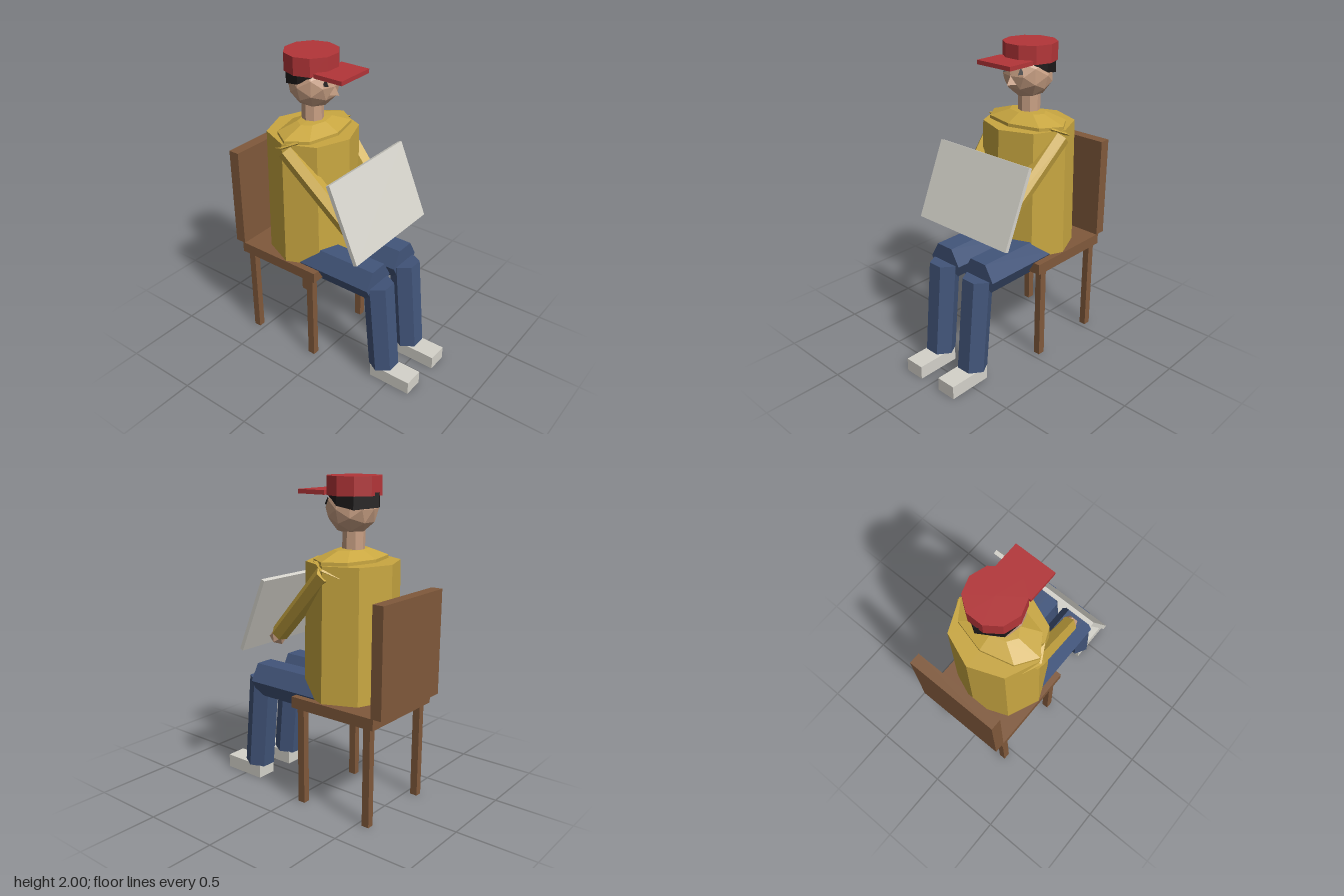
import * as THREE from 'three';

const mat = (name, color, side = THREE.FrontSide) => {
  const m = new THREE.MeshStandardMaterial({ color });
  m.name = name;
  m.side = side;
  return m;
};

export function createModel() {
  const root = new THREE.Group();
  root.name = 'seatedReader';
  const wood = mat('wood brown', 0x80593b), yellow = mat('jacket yellow', 0xc9a741);
  const blue = mat('jeans blue', 0x42557a), skin = mat('skin', 0xc9a084);
  const red = mat('cap red', 0xb33538), pale = mat('pale grey', 0xd4d2ca);
  const black = mat('hair black', 0x1c1919, THREE.DoubleSide);

  // Adds a faceted mesh
  const add = (name, geo, material, x = 0, y = 0, z = 0) => {
    const g = geo.index ? geo.toNonIndexed() : geo;
    g.computeVertexNormals();
    const m = new THREE.Mesh(g, material);
    m.name = name;
    m.position.set(x, y, z);
    root.add(m);
    return m;
  };
  // Box given by its limits on each axis
  const box = (name, material, [x0, x1], [y0, y1], [z0, z1]) =>
    add(name, new THREE.BoxGeometry(x1 - x0, y1 - y0, z1 - z0), material,
      (x0 + x1) / 2, (y0 + y1) / 2, (z0 + z1) / 2);
  // Six-sided limb between two points
  const limb = (name, material, a, b, ra, rb) => {
    const p = new THREE.Vector3(...a), q = new THREE.Vector3(...b);
    const d = q.clone().sub(p), c = p.add(q).multiplyScalar(0.5);
    const m = add(name, new THREE.CylinderGeometry(rb, ra, d.length(), 6), material, c.x, c.y, c.z);
    m.quaternion.setFromUnitVectors(new THREE.Vector3(0, 1, 0), d.normalize());
    return m;
  };

  // Chair
  box('chairSeat', wood, [-0.61, -0.005], [0.62, 0.69], [-0.304, 0.304]);
  box('chairBack', wood, [-0.665, -0.593], [0.69, 1.345], [-0.304, 0.304]);
  for (const x of [-0.557, -0.065])
    for (const z of [-0.267, 0.258])
      box('chairLeg', wood, [x - 0.024, x + 0.024], [0, 0.62], [z - 0.022, z + 0.022]);

  // Jacket body and sloping shoulders
  const torso = new THREE.CylinderGeometry(0.275, 0.286, 0.815, 8);
  torso.scale(1, 1, 1.06);
  add('torso', torso, yellow, -0.236, 1.1025, 0);
  const collar = new THREE.LatheGeometry(
    [[1, 1.495], [1, 1.53], [0.47, 1.578], [0, 1.585]].map(p => new THREE.Vector2(...p)), 8);
  collar.scale(0.175, 1, 0.285);
  add('shoulders', collar, yellow, -0.222, 0, 0);

  // Neck and head
  add('neck', new THREE.CylinderGeometry(0.068, 0.068, 0.16, 8), skin, -0.236, 1.64, 0);
  add('head', new THREE.IcosahedronGeometry(0.156, 1), skin, -0.222, 1.815, 0);
  const nose = new THREE.ConeGeometry(0.04, 0.068, 3);
  nose.rotateY(Math.PI / 2);
  add('nose', nose, skin, -0.075, 1.799, 0);
  for (const s of [-1, 1]) {
    const eye = new THREE.ConeGeometry(0.022, 0.043, 3);
    eye.rotateY(Math.PI / 2);
    add('eye', eye, black, -0.087, 1.852, s * 0.06);
  }

  // Hair band round the back of the head: angle from the back, lower edge, radius
  const hairEdge = [[-130, 1.885, 0.152], [-95, 1.835, 0.152], [-55, 1.815, 0.158], [0, 1.825, 0.174],
    [55, 1.815, 0.158], [95, 1.835, 0.152], [130, 1.885, 0.152]];
  const hairPos = [], hairIdx = [];
  hairEdge.forEach(([deg, y, r], i) => {
    const a = deg * Math.PI / 180, x = -Math.cos(a), z = Math.sin(a);
    hairPos.push(x * r, y, z * r, x * r, 1.91, z * r, x * 0.125, y - 0.005, z * 0.125);
    if (i) {
      const b = i * 3, p = b - 3;
      hairIdx.push(p, b, p + 1, b, b + 1, p + 1, p, p + 2, b, b, p + 2, b + 2);
    }
  });
  const hair = new THREE.BufferGeometry();
  hair.setAttribute('position', new THREE.Float32BufferAttribute(hairPos, 3));
  hair.setIndex(hairIdx);
  add('hair', hair, black, -0.236, 0, 0);

  // Cap
  add('capCrown', new THREE.CylinderGeometry(0.167, 0.167, 0.11, 10), red, -0.237, 1.945, 0);
  box('capBrim', red, [-0.117, 0.08], [1.89, 1.916], [-0.13, 0.13]);

  // Arms, hands, legs and shoes
  for (const s of [-1, 1]) {
    limb('sleeve', yellow, [-0.23, 1.46, s * 0.255], [0.185, 1.035, s * 0.19], 0.06, 0.056);
    const pad = new THREE.OctahedronGeometry(1);
    pad.scale(0.11, 0.035, 0.055);
    add('shoulderFold', pad, yellow, -0.235, 1.485, s * 0.25).rotation.z = 0.42;
    add('hand', new THREE.IcosahedronGeometry(0.056, 0), skin, 0.205, 1.01, s * 0.185);
    limb('thigh', blue, [-0.235, 0.7, s * 0.145], [0.37, 0.7, s * 0.145], 0.121, 0.121);
    limb('shin', blue, [0.372, 0.7, s * 0.145], [0.43, 0.09, s * 0.145], 0.095, 0.095);
    const zs = [s * 0.145 - 0.066, s * 0.145 + 0.066];
    box('shoe', pale, [0.37, 0.66], [0, 0.088], zs);
  }

  // Tilted board held in both hands
  add('board', new THREE.BoxGeometry(0.026, 0.5, 0.726), pale, 0.256, 1.165, 0).rotation.z = 0.402;

  return root;
}
